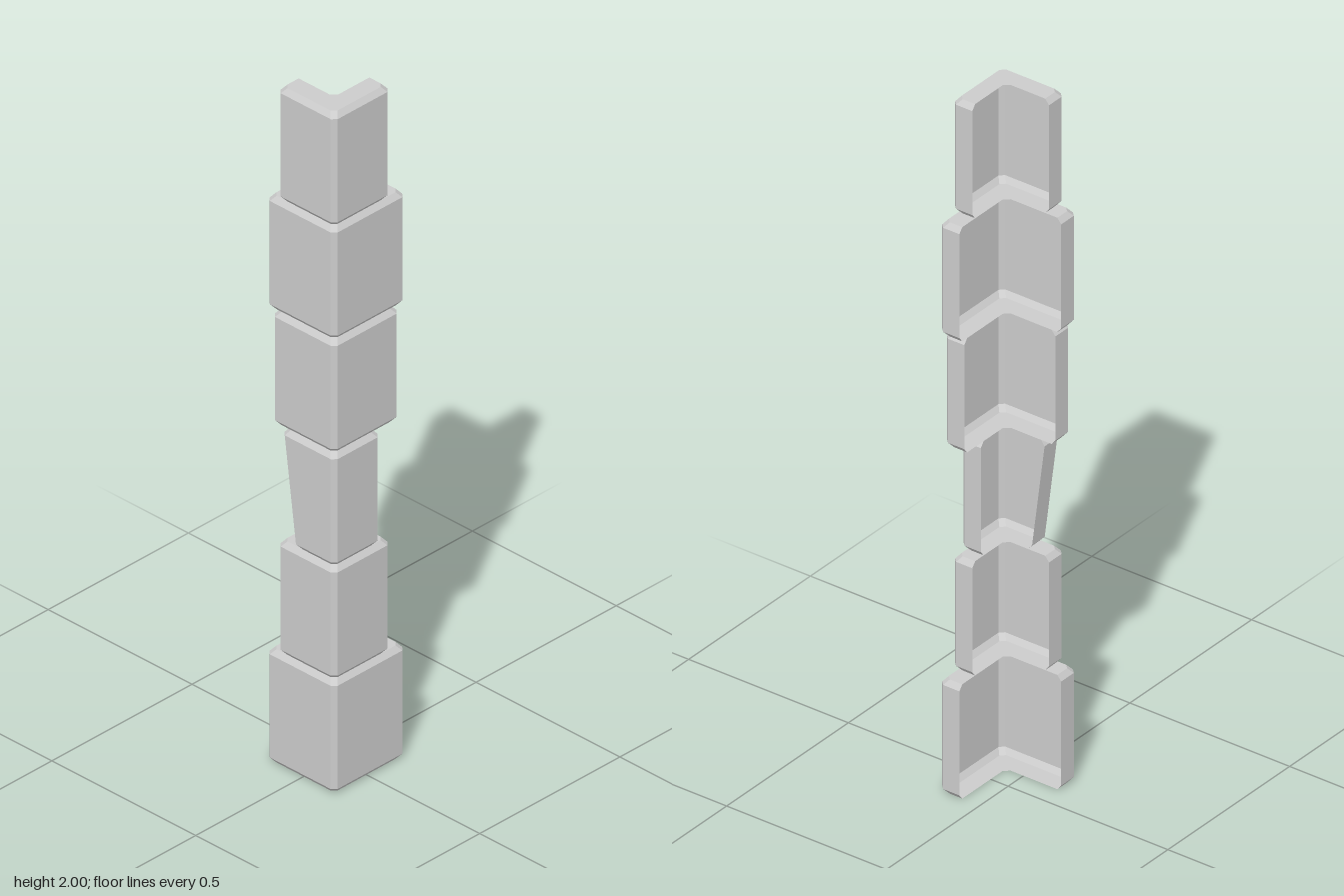
import * as THREE from 'three';

const B = 0.012; // bevel depth
const STEP = 1 / 3; // height of one stone

// L-shaped cross-section; ex and ez are the ends of the two arms
function section(ex, ez, y, narrow) {
  const s = narrow ? B : 0;
  const p = (x, z, dx, dz) => new THREE.Vector3(x + dx * s, y, z + dz * s);
  return [
    p(0.118, 0.115, -1, -1), p(0.106, 0.127, -1, -1), // outer corner
    p(ex + B, 0.127, 1, -1), p(ex, 0.115, 1, -1), p(ex, 0.063, 1, 0), // side arm end
    p(0.04, 0.063, 0, 0), p(0.055, 0.05, 0, 0), // inner corner
    p(0.055, ez, 0, 1), p(0.106, ez, -1, 1), p(0.118, ez + B, -1, 1), // back arm end
  ];
}

// Skin the outer faces and arm ends of one stone, cap top and bottom;
// the inner side of the L stays open, so the stone is a hollow shell
function stoneGeometry(exBottom, exTop, ez) {
  const rings = [0, 0.015, STEP - 0.015, STEP].map((y, i) =>
    section(THREE.MathUtils.lerp(exBottom, exTop, y / STEP), ez, y, i === 0 || i === 3));
  const verts = [];
  const tri = (a, b, c) => verts.push(...a.toArray(), ...b.toArray(), ...c.toArray());
  for (let r = 0; r < 3; r++) {
    const lo = rings[r], hi = rings[r + 1];
    for (const i of [0, 1, 2, 3, 7, 8, 9]) {
      const j = (i + 1) % lo.length;
      tri(lo[i], hi[i], lo[j]);
      tri(lo[j], hi[i], hi[j]);
    }
  }
  const cap = (ring, up) => {
    const flat = ring.map((v) => new THREE.Vector2(v.x, v.z));
    for (const [a, b, c] of THREE.ShapeUtils.triangulateShape(flat, [])) {
      if (up) tri(ring[a], ring[c], ring[b]);
      else tri(ring[a], ring[b], ring[c]);
    }
  };
  cap(rings[0], false);
  cap(rings[3], true);
  const geo = new THREE.BufferGeometry();
  geo.setAttribute('position', new THREE.Float32BufferAttribute(verts, 3));
  geo.computeVertexNormals();
  return geo;
}

export function createModel() {
  const group = new THREE.Group();
  group.name = 'cornerStones';
  const material = new THREE.MeshStandardMaterial({
    color: 0xcccccc, flatShading: true, side: THREE.DoubleSide,
  });
  // From the ground up: side arm end at bottom and top, back arm end
  const stones = [
    [-0.118, -0.118, -0.128],
    [-0.08, -0.08, -0.075],
    [-0.025, -0.068, -0.04],
    [-0.1, -0.1, -0.108],
    [-0.118, -0.118, -0.128],
    [-0.08, -0.08, -0.075],
  ];
  stones.forEach((ends, i) => {
    const stone = new THREE.Mesh(stoneGeometry(...ends), material);
    stone.name = `cornerStone${i + 1}`;
    stone.position.y = i * STEP;
    group.add(stone);
  });
  return group;
}
